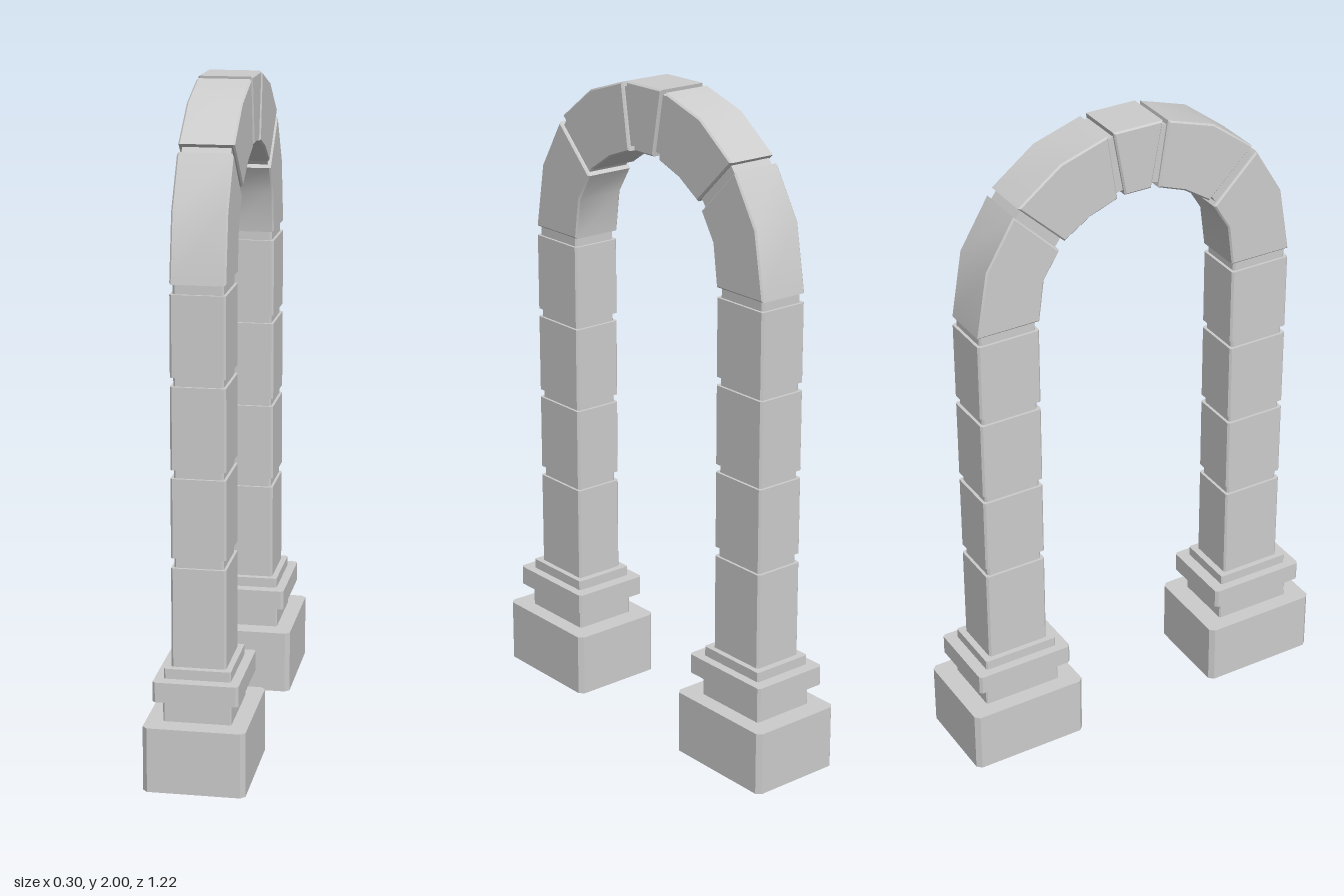
import * as THREE from 'three';
import { toCreasedNormals } from 'three/addons/utils/BufferGeometryUtils.js';

const material = new THREE.MeshStandardMaterial({ color: 0xcccccc });

function add(parent, name, geometry) {
  const mesh = new THREE.Mesh(toCreasedNormals(geometry, 0.5), material);
  mesh.name = name;
  parent.add(mesh);
  return mesh;
}

// Upright block with chamfered vertical corners; w along x, d along z
function block(w, d, y0, y1, c) {
  const x = w / 2, z = d / 2;
  const plan = [
    [-x + c, -z], [x - c, -z], [x, -z + c], [x, z - c],
    [x - c, z], [-x + c, z], [-x, z - c], [-x, -z + c],
  ].map(([a, b]) => new THREE.Vector2(a, b));
  return new THREE.ExtrudeGeometry(new THREE.Shape(plan), { depth: y1 - y0, bevelEnabled: false })
    .rotateX(-Math.PI / 2).translate(0, y0, 0);
}

// Arch stone: outline given in (z, y), extruded across x
function archStone(points, width, bevel) {
  const shape = new THREE.Shape(points.map(([z, y]) => new THREE.Vector2(z, y)));
  const depth = width - 2 * bevel;
  return new THREE.ExtrudeGeometry(shape, {
    depth, bevelEnabled: bevel > 0, bevelThickness: bevel, bevelSize: bevel,
    bevelOffset: -bevel, bevelSegments: 1,
  }).translate(0, 0, -depth / 2).rotateY(-Math.PI / 2);
}

// Recessed filler between two facing stone ends, each [outer, inner]
function joint([a, b], [c, d]) {
  const t = 0.07;
  const mix = (p, q) => [p[0] + (q[0] - p[0]) * t, p[1] + (q[1] - p[1]) * t];
  return archStone([mix(a, b), mix(b, a), mix(d, c), mix(c, d)], 0.14, 0);
}

// Ends and middle points of the arch stones
const springer = [[0.522, 1.475], [0.488, 1.676], [0.398, 1.825],
  [0.256, 1.684], [0.307, 1.602], [0.324, 1.475]];
const voussoir = [[0.383, 1.846], [0.249, 1.947], [0.098, 1.995],
  [0.067, 1.795], [0.154, 1.763], [0.239, 1.708]];
const keystone = [[0.08, 2], [-0.08, 2], [-0.043, 1.8], [0.043, 1.8]];

function createSide() {
  const side = new THREE.Group();
  const column = new THREE.Group();
  column.name = 'column';
  column.position.z = 0.424;
  side.add(column);

  // Stepped pedestal
  add(column, 'plinth', block(0.3, 0.376, 0, 0.196, 0.014));
  add(column, 'pedestalNeck', block(0.2, 0.25, 0.196, 0.265, 0.004));
  add(column, 'pedestalSlab', block(0.25, 0.314, 0.265, 0.325, 0.008));
  add(column, 'shaftFooting', block(0.195, 0.24, 0.325, 0.355, 0.004));

  // Shaft stones around a slimmer core that shows in the joints
  add(column, 'shaftCore', block(0.144, 0.18, 0.355, 1.475, 0.006));
  [[0.355, 0.652], [0.682, 0.917], [0.942, 1.184], [1.21, 1.447]].forEach(([y0, y1]) =>
    add(column, 'shaftStone', block(0.16, 0.198, y0, y1, 0.006)));

  // Half of the arch
  add(side, 'springerStone', archStone(springer, 0.16, 0.005));
  add(side, 'archStone', archStone(voussoir, 0.16, 0.005));
  add(side, 'lowerArchJoint', joint([springer[2], springer[3]], [voussoir[0], voussoir[5]]));
  add(side, 'upperArchJoint', joint([voussoir[2], voussoir[3]], [keystone[0], keystone[3]]));
  return side;
}

export function createModel() {
  const model = new THREE.Group();
  model.name = 'stoneArch';
  for (const [name, angle] of [['frontSide', 0], ['backSide', Math.PI]]) {
    const side = createSide();
    side.name = name;
    side.rotation.y = angle;
    model.add(side);
  }
  add(model, 'keystone', archStone(keystone, 0.16, 0.005));
  return model;
}
